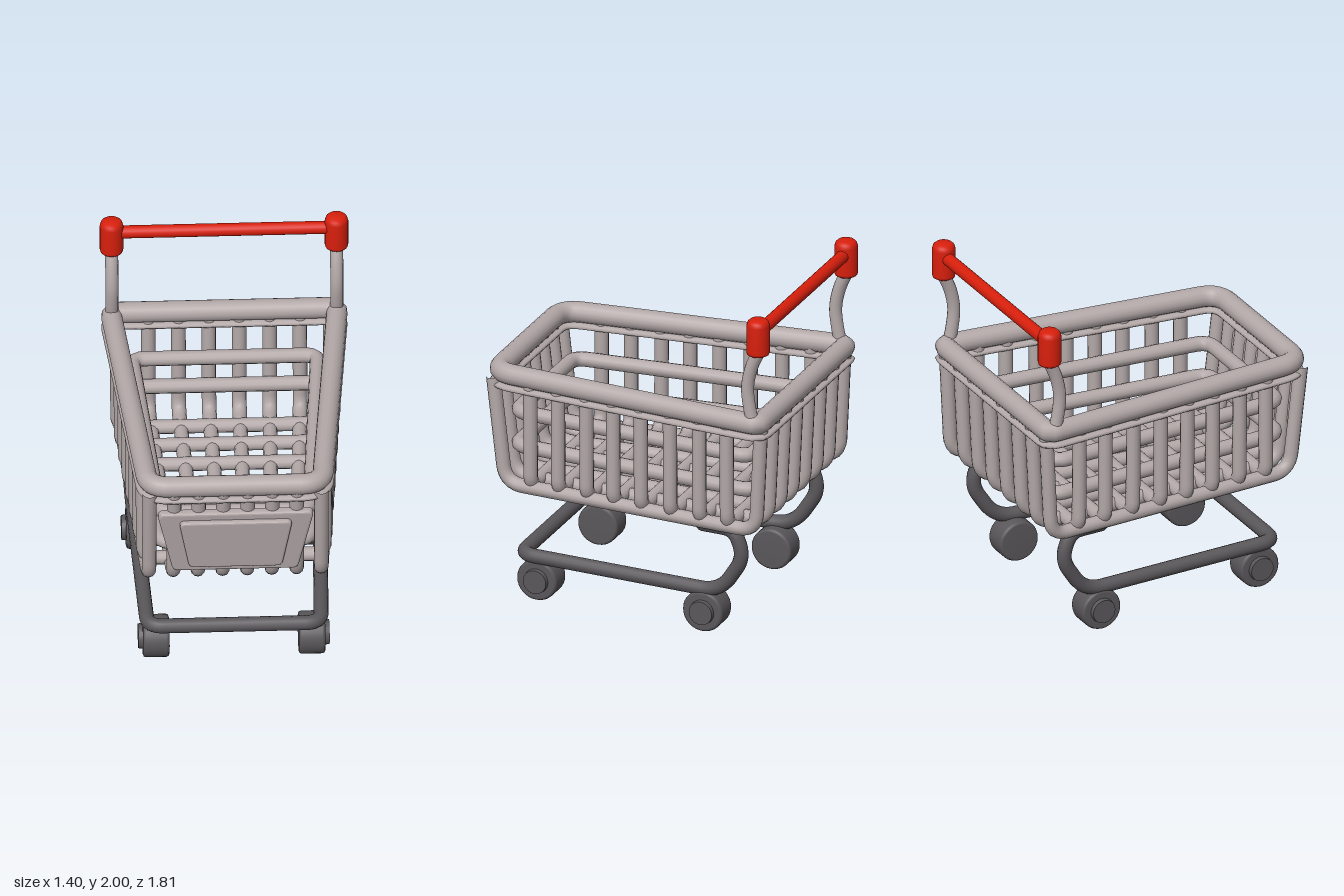
import * as THREE from 'three';

const V = (x, y, z) => new THREE.Vector3(x, y, z);
const mat = (color) => new THREE.MeshStandardMaterial({ color });

// Polyline path with rounded corners of radius r (a number or one per point)
function roundedPath(pts, r, closed = false) {
  const path = new THREE.CurvePath();
  const n = pts.length;
  const toward = (a, b, d) => a.clone().add(b.clone().sub(a).setLength(d));
  const rad = (i) => (Array.isArray(r) ? r[i] : r);
  const first = closed ? toward(pts[0], pts[1], rad(0)) : pts[0];
  let cur = first;
  for (let k = 1; k < (closed ? n + 1 : n - 1); k++) {
    const i = k % n;
    const p = pts[i];
    const a = toward(p, pts[(i + n - 1) % n], rad(i));
    const b = toward(p, pts[(i + 1) % n], rad(i));
    path.add(new THREE.LineCurve3(cur, a));
    path.add(new THREE.QuadraticBezierCurve3(a, p, b));
    cur = b;
  }
  if (!closed) path.add(new THREE.LineCurve3(cur, pts[n - 1]));
  return path;
}

export function createModel() {
  const root = new THREE.Group();
  const grey = mat(0xb3a8a8);
  const dark = mat(0x5a575a);
  const red = mat(0xd81f0c);

  const add = (name, geo, material, parent = root) => {
    const m = new THREE.Mesh(geo, material);
    m.name = name;
    parent.add(m);
    return m;
  };
  const tube = (name, path, r, material, parent, segs = 60, sides = 12, closed = false) =>
    add(name, new THREE.TubeGeometry(path, segs, r, sides, closed), material, parent);
  const group = (name) => {
    const g = new THREE.Group();
    g.name = name;
    root.add(g);
    return g;
  };

  // Tapered closed loop, wider at the back
  const loop = (y, wBack, zBack, wFront, zFront, rBack, rFront) => roundedPath(
    [V(-wBack, y, zBack), V(wBack, y, zBack), V(wFront, y, zFront), V(-wFront, y, zFront)],
    [rBack, rBack, rFront, rFront], true);

  const basket = group('basket');

  // Thick top rim and the flat lip under it
  tube('topRim', loop(0, 0.64, -0.84, 0.49, 0.84, 0.05, 0.12), 0.06, grey, basket, 200, 16, true)
    .position.y = 1.352;
  const lip = tube('rimLip', loop(0, 0.64, -0.84, 0.49, 0.84, 0.05, 0.12), 0.06, grey, basket, 200, 12, true);
  lip.scale.y = 0.35;
  lip.position.y = 1.278;

  // Two horizontal rails inside the bars
  for (const [y, zb] of [[1.1, -0.735], [0.895, -0.75]])
    tube('innerRail', loop(y, 0.525, zb, 0.425, 0.74, 0.07, 0.08), 0.043, grey, basket, 180, 12, true);

  // U-shaped bars running across the basket
  const topY = 1.32, floorY = 0.685;
  for (const z of [0.61, 0.435, 0.255, 0.085, -0.09, -0.275, -0.46, -0.635]) {
    const w = 0.558 - z * 0.078;
    tube('crossBar', roundedPath([
      V(-w - 0.005, topY, z), V(-w, floorY + 0.01, z), V(w, floorY + 0.01, z), V(w + 0.005, topY, z),
    ], 0.08), 0.041, grey, basket, 90);
  }

  // U-shaped bars running from front to back, fanning out to the back
  for (let i = 0; i < 8; i++) {
    const t = (i - 3.5) / 3.5;
    const xb = 0.6 * t, xf = 0.485 * t;
    tube('lengthBar', roundedPath([
      V(xb, topY, -0.84), V(xb, floorY, -0.81), V(xf, floorY - 0.005, 0.775), V(xf, topY, 0.85),
    ], 0.11), 0.041, grey, basket, 100);
  }

  // Front sign: a tapered plate with a smaller raised panel
  const sign = group('frontSign');
  const trapezoid = (wTop, wBottom, h, depth, bevel) => {
    const s = new THREE.Shape();
    const c = 0.02;
    s.moveTo(-wBottom + c, -h);
    s.lineTo(wBottom - c, -h);
    s.quadraticCurveTo(wBottom, -h, wBottom + 0.004, -h + c);
    s.lineTo(wTop - 0.004, h - c);
    s.quadraticCurveTo(wTop, h, wTop - c, h);
    s.lineTo(-wTop + c, h);
    s.quadraticCurveTo(-wTop, h, -wTop + 0.004, h - c);
    s.lineTo(-wBottom - 0.004, -h + c);
    s.quadraticCurveTo(-wBottom, -h, -wBottom + c, -h);
    const g = new THREE.ExtrudeGeometry(s, {
      depth, bevelThickness: bevel, bevelSize: bevel, bevelSegments: 3, curveSegments: 5,
    });
    return g.translate(0, 0, -depth / 2);
  };
  add('signPlate', trapezoid(0.425, 0.34, 0.2, 0.02, 0.016), grey, sign);
  add('signPanel', trapezoid(0.305, 0.25, 0.155, 0.02, 0.014), grey, sign).position.z = 0.03;
  sign.position.set(0, 0.98, 0.84);
  sign.rotation.x = 0.11;

  // Handle: curved posts, rounded caps and grip
  const handle = group('handle');
  const capProfile = [[0, -0.11], [0.05, -0.11], [0.063, -0.102], [0.067, -0.088],
    [0.067, 0.07], [0.06, 0.093], [0.045, 0.106], [0, 0.11]].map(([x, y]) => new THREE.Vector2(x, y));
  for (const s of [-1, 1]) {
    tube('handlePost', new THREE.CatmullRomCurve3([
      V(s * 0.635, 1.34, -0.81), V(s * 0.635, 1.45, -0.785), V(s * 0.635, 1.57, -0.773),
      V(s * 0.635, 1.69, -0.795), V(s * 0.635, 1.82, -0.85),
    ]), 0.037, grey, handle, 30, 14);
    add('handleCap', new THREE.LatheGeometry(capProfile, 24), red, handle)
      .position.set(s * 0.635, 1.89, -0.837);
  }
  const grip = add('handleGrip', new THREE.CylinderGeometry(0.037, 0.037, 1.25, 18), red, handle);
  grip.rotation.z = Math.PI / 2;
  grip.position.set(0, 1.915, -0.837);

  // Chassis: one bent tube from under the basket, round the front and back again
  const chassis = group('chassis');
  const side = (s) => [
    V(s * 0.54, 0.65, -0.46), V(s * 0.54, 0.645, -0.65), V(s * 0.545, 0.49, -0.715),
    V(s * 0.53, 0.25, -0.56), V(s * 0.49, 0.265, 0.68),
  ];
  tube('chassisTube', roundedPath([...side(-1), ...side(1).reverse()],
    [0, 0.06, 0.09, 0.12, 0.09, 0.09, 0.12, 0.09, 0.06, 0]), 0.042, dark, chassis, 240, 14);
  for (const s of [-1, 1])
    add('chassisTubeEnd', new THREE.SphereGeometry(0.042, 14, 8), dark, chassis)
      .position.set(s * 0.54, 0.65, -0.46);

  // Wheels with a raised hub on the outer face
  const wheels = group('wheels');
  const wheelProfile = [[0, -0.075], [0.105, -0.075], [0.117, -0.07], [0.122, -0.058],
    [0.122, 0.058], [0.117, 0.07], [0.105, 0.075], [0, 0.075]].map(([x, y]) => new THREE.Vector2(x, y));
  for (const s of [-1, 1])
    for (const [x, z] of [[0.44, 0.575], [0.495, -0.465]]) {
      const w = new THREE.Group();
      w.name = z > 0 ? 'frontWheel' : 'backWheel';
      add('tyre', new THREE.LatheGeometry(wheelProfile, 32), dark, w);
      add('hub', new THREE.CylinderGeometry(0.07, 0.076, 0.05, 28), dark, w).position.y = 0.075;
      w.rotation.z = -s * Math.PI / 2;
      w.position.set(s * x, 0.123, z);
      wheels.add(w);
    }

  return root;
}
